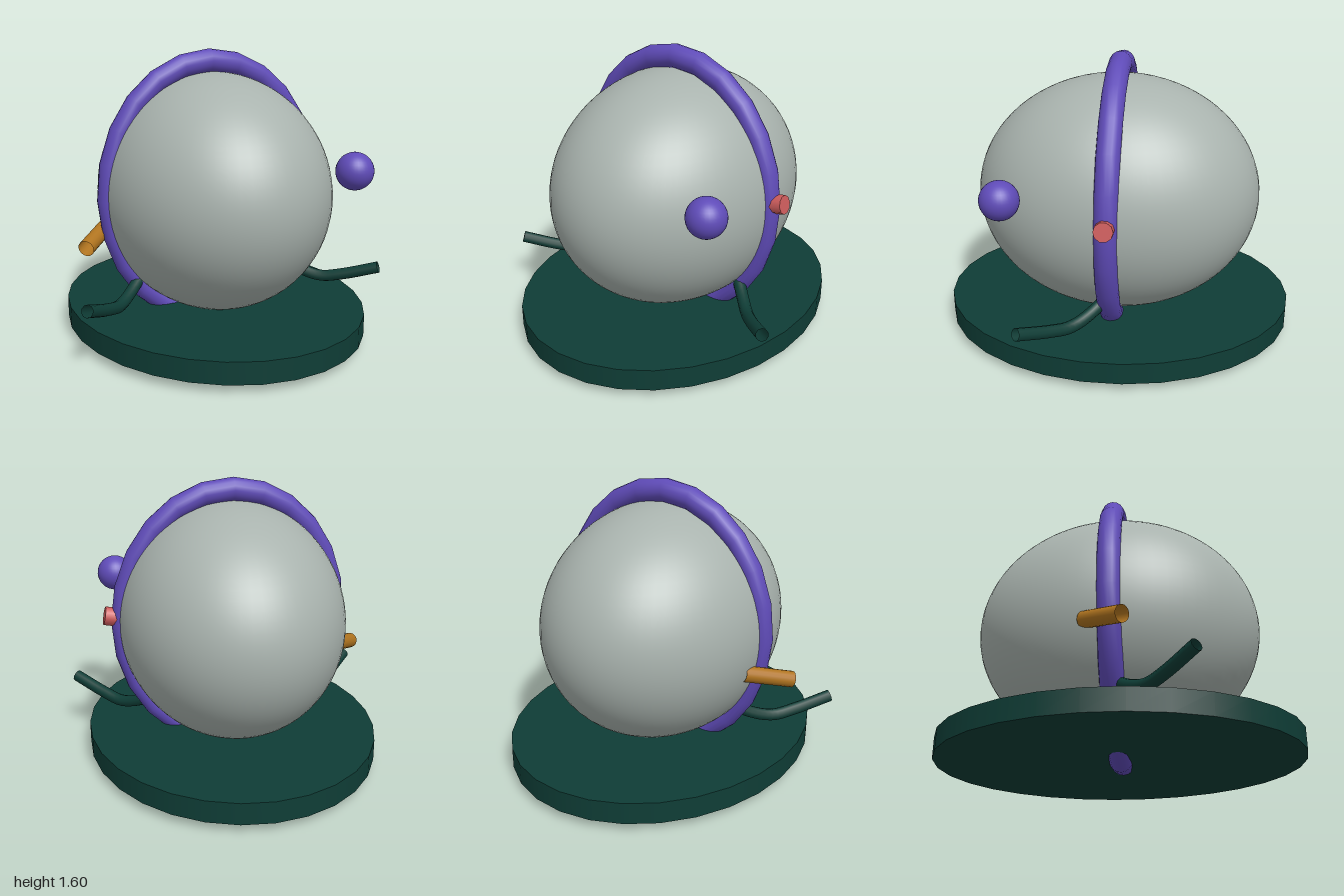
import * as THREE from 'three';

const mat = (name, color, side = THREE.FrontSide) => {
  const m = new THREE.MeshStandardMaterial({ color, side });
  m.name = name;
  return m;
};

export function createModel() {
  const grey = mat('stone grey', 0xa9b3ae);
  const purple = mat('purple', 0x5f4bb8);
  const green = mat('dark green', 0x0f3d36, THREE.DoubleSide);
  const orange = mat('ochre', 0xb0741f, THREE.DoubleSide);
  const red = mat('coral red', 0xcd5c5c);

  const group = new THREE.Group();
  group.name = 'eggOnPlate';
  const add = (name, geometry, material, x = 0, y = 0, z = 0) => {
    const mesh = new THREE.Mesh(geometry, material);
    mesh.name = name;
    mesh.position.set(x, y, z);
    group.add(mesh);
    return mesh;
  };
  // Turn a cylinder's axis from +y to a direction
  const aim = (mesh, x, y, z) => mesh.quaternion.setFromUnitVectors(
    new THREE.Vector3(0, 1, 0), new THREE.Vector3(x, y, z).normalize());

  // Oval plate
  add('base', new THREE.CylinderGeometry(1, 1, 0.12, 30).scale(0.83, 1, 1), green, 0, 0.11, 0);

  // Egg-shaped body
  add('body', new THREE.SphereGeometry(1, 64, 40).scale(0.64, 0.675, 0.8), grey, 0, 0.8, 0);

  // Band around the body, tilted very slightly
  const band = add('band', new THREE.TorusGeometry(0.626, 0.056, 16, 24).scale(1.088, 1.172, 1.13)
    .scale(1 / 1.088, 1, 1), purple, 0, 0.803, 0);
  band.rotation.set(-0.01, 0, 0.02);

  // Floating ball
  add('ball', new THREE.SphereGeometry(0.105, 32, 20), purple, 0.605, 0.955, 0.545);

  // Knob on the left side of the band
  const knob = add('knob', new THREE.CylinderGeometry(0.052, 0.052, 0.11, 10), red, 0.663, 0.845, 0);
  aim(knob, 0.98, 0.19, 0);

  // Open spout on the right side
  const tip = new THREE.Vector3(-0.777, 0.56, 0.083);
  const root = new THREE.Vector3(-0.585, 0.629, -0.128);
  const mid = tip.clone().add(root).multiplyScalar(0.5);
  const spout = add('spout',
    new THREE.CylinderGeometry(0.045, 0.045, tip.distanceTo(root), 16, 1, true),
    orange, mid.x, mid.y, mid.z);
  aim(spout, tip.x - root.x, tip.y - root.y, tip.z - root.z);

  // Mirrored pair of bent arms
  for (const s of [1, -1]) {
    const path = new THREE.CatmullRomCurve3([
      [0.42, 0.365, -0.01], [0.54, 0.282, 0.10], [0.63, 0.252, 0.19],
      [0.72, 0.275, 0.28], [0.875, 0.34, 0.428],
    ].map(([x, y, z]) => new THREE.Vector3(s * x, y, z)));
    add(s > 0 ? 'leftArm' : 'rightArm', new THREE.TubeGeometry(path, 20, 0.034, 10), green);
  }

  return group;
}
